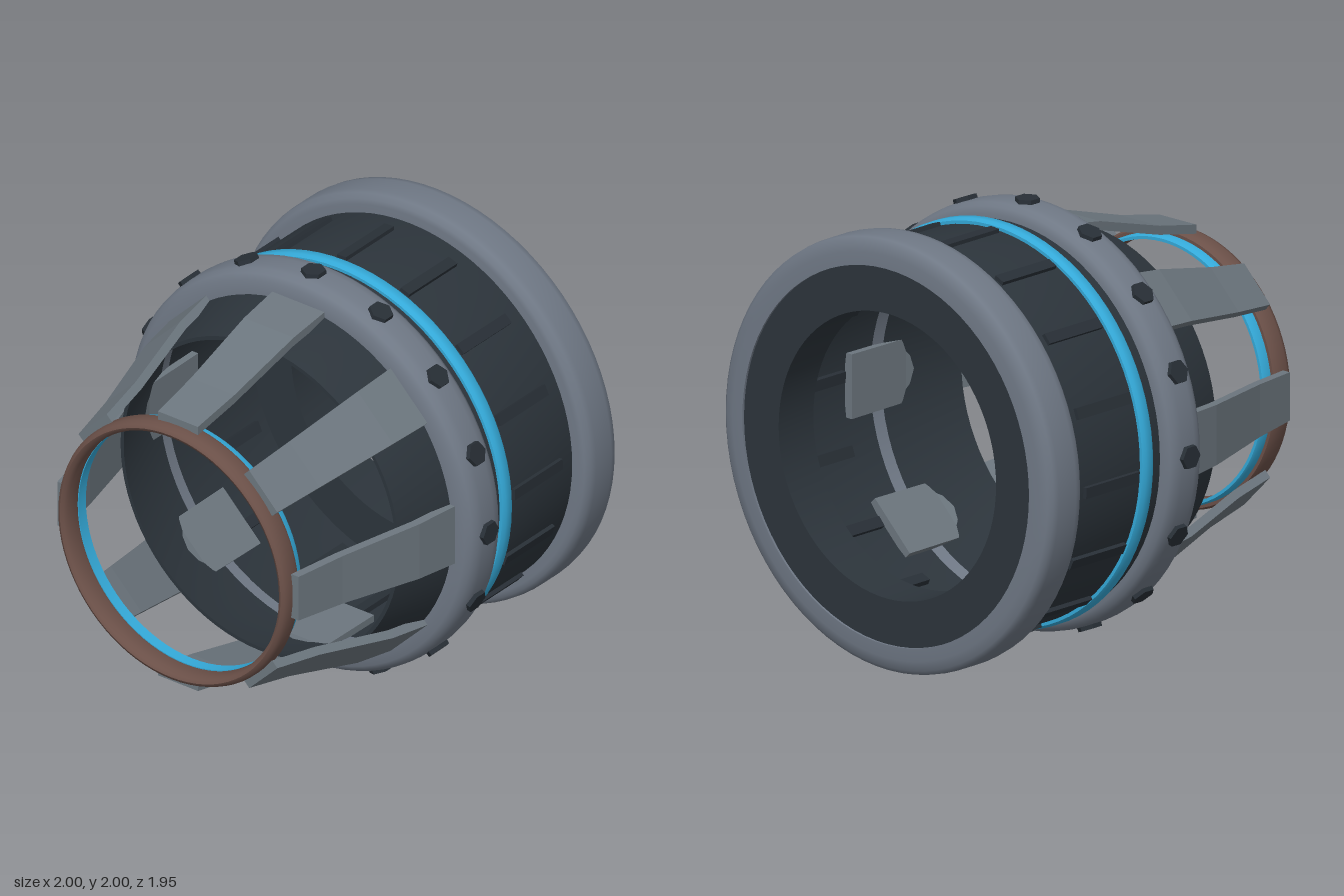
import * as THREE from 'three';
import { toCreasedNormals } from 'three/addons/utils/BufferGeometryUtils.js';

const mat = (name, color) => {
  const m = new THREE.MeshStandardMaterial({ color });
  m.name = name;
  return m;
};

export function createModel() {
  const steel = mat('blue grey steel', 0x6f7885);
  const plate = mat('petal grey', 0x6c767e);
  const dark = mat('dark gunmetal', 0x2c343b);
  const black = mat('bolt black', 0x282f36);
  const bronze = mat('bronze', 0x6b5048);
  const cyan = mat('cyan', 0x34a9d8);

  const root = new THREE.Group();
  root.name = 'nozzle';
  const body = new THREE.Group();
  body.name = 'body';
  body.position.y = 1;
  root.add(body);

  // Closed ring about the z axis; profile of [radius, z], outer side running to +z
  function ring(name, profile, material, crease = 0.6) {
    const pts = [...profile, profile[0]].map(([r, z]) => new THREE.Vector2(r, z));
    const geo = new THREE.LatheGeometry(pts, 80).rotateX(Math.PI / 2);
    const mesh = new THREE.Mesh(toCreasedNormals(geo, crease), material);
    mesh.name = name;
    body.add(mesh);
  }

  // Copies of a part built at the top, turned around the z axis
  function around(name, geo, material, count, offset = 0) {
    const set = new THREE.Group();
    set.name = name + 's';
    for (let i = 0; i < count; i++) {
      const mesh = new THREE.Mesh(geo, material);
      mesh.name = name;
      mesh.rotation.z = offset + (i / count) * Math.PI * 2;
      set.add(mesh);
    }
    body.add(set);
  }

  // Hollow barrel with tapered front and a narrow rear throat
  ring('barrel', [
    [0.88, -0.965], [0.91, -0.8], [0.91, -0.1], [0.783, 0.33], [0.765, 0.33],
    [0.885, -0.1], [0.885, -0.74], [0.66, -0.74], [0.66, -0.965],
  ], dark);

  // Rounded rear flange
  ring('rearFlange', [
    [0.87, -0.976], [0.93, -0.975], [0.975, -0.967], [0.995, -0.95], [1, -0.92],
    [1, -0.81], [0.995, -0.78], [0.975, -0.757], [0.95, -0.753], [0.87, -0.753],
  ], steel, 0.8);

  // Bolted collar
  ring('collar', [
    [0.89, -0.17], [0.93, -0.17], [0.96, -0.158], [0.975, -0.135], [0.98, -0.1],
    [0.98, -0.02], [0.975, 0.01], [0.96, 0.035], [0.935, 0.053], [0.86, 0.053],
  ], steel, 0.8);

  // Light band
  ring('lightBand', [
    [0.9, -0.3], [0.925, -0.3], [0.936, -0.285], [0.936, -0.245], [0.925, -0.23], [0.9, -0.23],
  ], cyan, 0.9);

  // Front exit ring and the light strip behind it
  ring('exitRing', [
    [0.605, 0.865], [0.635, 0.865], [0.645, 0.885], [0.645, 0.945], [0.635, 0.968],
    [0.62, 0.976], [0.605, 0.968], [0.596, 0.945], [0.596, 0.885],
  ], bronze, 0.9);
  ring('exitLight', [
    [0.598, 0.817], [0.612, 0.817], [0.62, 0.828], [0.62, 0.87], [0.598, 0.87],
  ], cyan, 0.9);

  // Hex bolts around the collar
  const bolt = new THREE.CylinderGeometry(0.056, 0.062, 0.06, 6).translate(0, 0.968, -0.057);
  around('bolt', toCreasedNormals(bolt, 0.2), black, 16);

  // Raised ribs on the barrel
  const rib = new THREE.BoxGeometry(0.052, 0.07, 0.345).translate(0, 0.893, -0.492);
  around('rib', rib, black, 16, THREE.MathUtils.degToRad(3));

  // Bent, tapering petals: z, outer radius, half width
  const stations = [
    [-0.3, 0.88, 0.15], [0.05, 0.88, 0.147], [0.265, 0.845, 0.14],
    [0.67, 0.73, 0.122], [0.92, 0.678, 0.112],
  ];
  const petal = new THREE.BoxGeometry(2, 1, 1, 1, 1, stations.length - 1);
  const p = petal.attributes.position;
  for (let i = 0; i < p.count; i++) {
    const [z, r, w] = stations[Math.round((p.getZ(i) + 0.5) * (stations.length - 1))];
    p.setXYZ(i, p.getX(i) * w, p.getY(i) > 0 ? r : r - 0.042, z);
  }
  around('petal', toCreasedNormals(petal, 0.05), plate, 8);

  return root;
}
